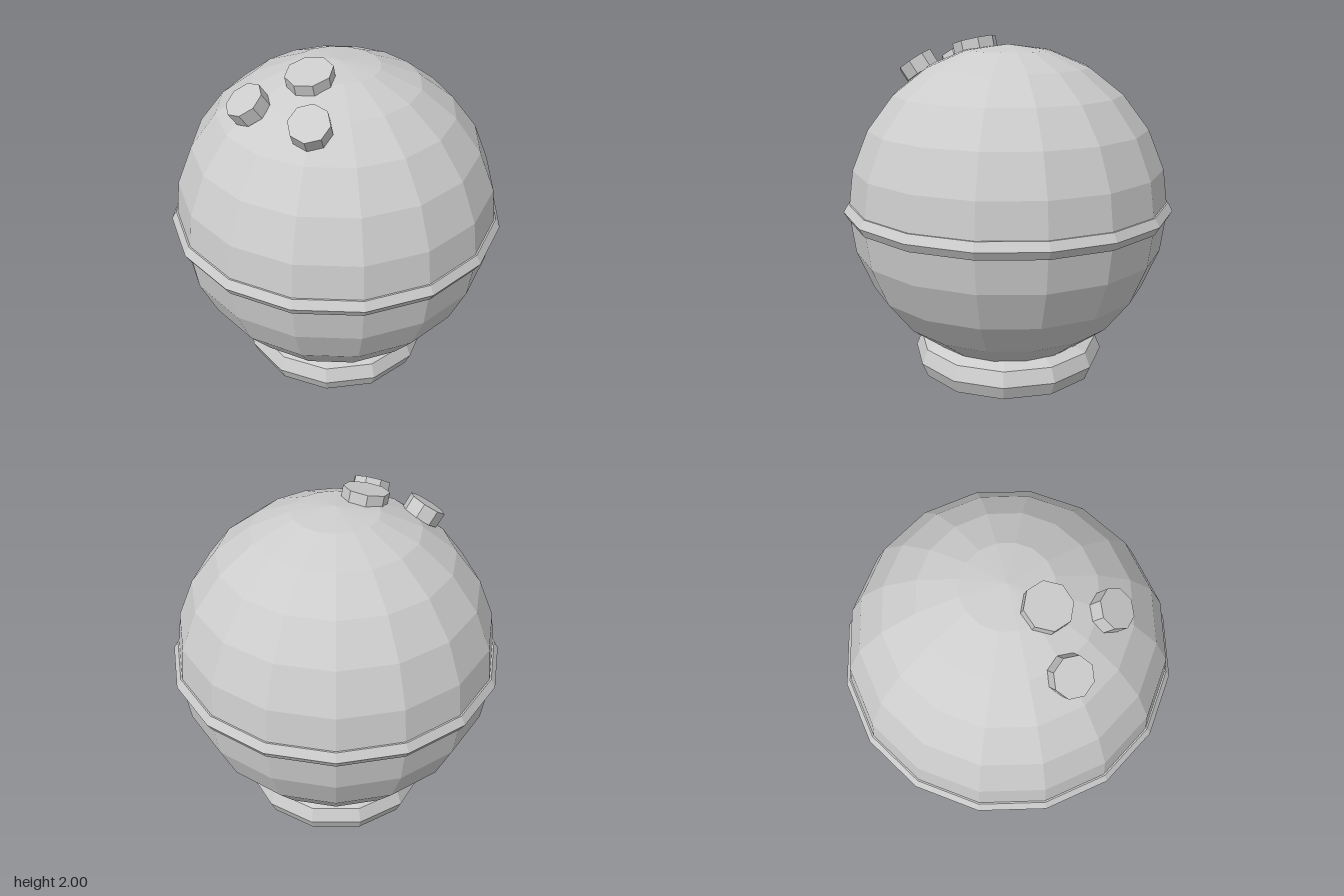
import * as THREE from 'three';

export function createModel() {
  const model = new THREE.Group();
  const grey = new THREE.MeshStandardMaterial({ color: 0xcccccc, flatShading: true });
  grey.name = 'light grey';

  const add = (name, geometry, x, y, z) => {
    const mesh = new THREE.Mesh(geometry, grey);
    mesh.name = name;
    mesh.position.set(x, y, z);
    model.add(mesh);
    return mesh;
  };

  // Faceted ball body
  const centreY = 1.03;
  add('body', new THREE.SphereGeometry(0.925, 16, 12), 0, centreY, 0);

  // Thin six-sided band around the middle
  add('band', new THREE.TorusGeometry(0.9, 0.055, 6, 16).rotateX(-Math.PI / 2), 0, centreY, 0);

  // Chunky eight-sided ring the ball stands on
  add('baseRing', new THREE.TorusGeometry(0.45, 0.118, 8, 12).rotateX(-Math.PI / 2), 0, 0.118, 0);

  // Octagonal buttons, each tilted to follow the ball's surface
  const addButton = (name, radius, height, x, y, z) => {
    const button = add(name, new THREE.CylinderGeometry(radius, radius, height, 8), x, y, z);
    const tilt = Math.atan2(Math.hypot(x, z), y - centreY);
    button.rotation.set(tilt, Math.atan2(x, z), 0, 'YXZ');
  };
  addButton('topButton', 0.128, 0.062, 0, 1.942, 0.225);
  addButton('leftButton', 0.109, 0.085, 0.2, 1.827, 0.483);
  addButton('rightButton', 0.109, 0.085, -0.2, 1.827, 0.483);

  return model;
}
